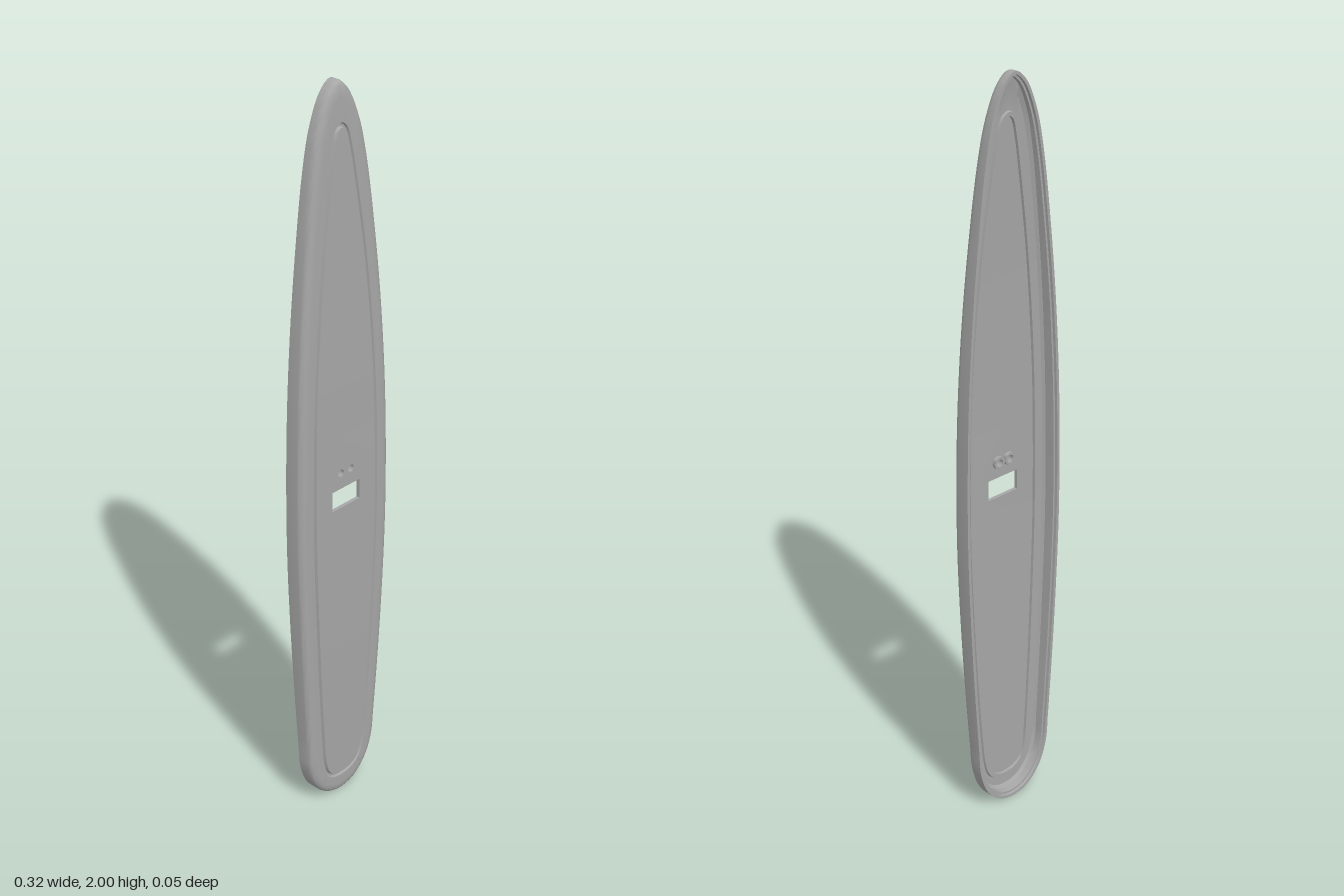
import * as THREE from 'three';
import { mergeGeometries, toCreasedNormals } from 'three/addons/utils/BufferGeometryUtils.js';

const BACK = -0.026, CREST = 0.026, STEPS = 5;

// half outlines from the tip down to the foot
const OUTER = [[0, 2], [.035, 1.975], [.07, 1.9], [.093, 1.8], [.12, 1.6], [.14, 1.4], [.153, 1.2], [.159, 1], [.159, .8],
  [.152, .6], [.141, .4], [.127, .2], [.12, .12], [.095, .055], [.05, .012], [0, 0]];
const INNER = [[0, 1.888], [.012, 1.88], [.026, 1.83], [.04, 1.75], [.068, 1.56], [.087, 1.38], [.1, 1.19], [.105, 1], [.105, .8],
  [.098, .6], [.088, .4], [.074, .2], [.066, .125], [.052, .085], [.028, .068], [0, .064]];

// height of the gently bowed front face
const faceZ = y => CREST - (y > 0.9 ? 0.02 : 0.009) * ((y - 0.9) / (y > 0.9 ? 1.1 : 0.9)) ** 2;

// closed, mirrored outline running counter-clockwise seen from the front
function outline(half) {
  const left = half.map(([x, y]) => new THREE.Vector3(-x, y, 0));
  const right = half.slice(1, -1).reverse().map(([x, y]) => new THREE.Vector3(x, y, 0));
  const keys = [...left, ...right];
  const curve = new THREE.CatmullRomCurve3(keys, true);
  const n = keys.length * STEPS;
  return Array.from({ length: n }, (_, i) => curve.getPoint(i / n));
}

// moves an outline inwards (positive) or outwards (negative)
function inset(ring, d) {
  const n = ring.length;
  return ring.map((p, i) => {
    const t = ring[(i + 1) % n].clone().sub(ring[(i + n - 1) % n]).normalize();
    return new THREE.Vector3(p.x - t.y * d, p.y + t.x * d, 0);
  });
}

// joins closed rings into a non-indexed skin
function loft(rings) {
  const pos = [];
  const n = rings[0].length;
  for (let s = 0; s + 1 < rings.length; s++) {
    for (let i = 0; i < n; i++) {
      const j = (i + 1) % n;
      const a = rings[s][i], b = rings[s][j], c = rings[s + 1][j], d = rings[s + 1][i];
      for (const v of [a, b, d, b, c, d]) pos.push(v.x, v.y, v.z);
    }
  }
  const g = new THREE.BufferGeometry();
  g.setAttribute('position', new THREE.Float32BufferAttribute(pos, 3));
  return g;
}

const setZ = (ring, fn) => ring.map(p => new THREE.Vector3(p.x, p.y, fn(p.y)));

const SLOT = [[.05, .952], [-.05, .952], [-.05, .897], [.05, .897]];
const HOLES = [-.018, .018], HOLE_Y = 0.996, HOLE_R = 0.01;

// bowed panel, made of horizontal bands; the middle band carries the openings
function panel(ring, depth, flip) {
  const n = ring.length, bands = [];
  const cuts = [];
  for (let i = 0; i <= n / 2; i++) if (ring[i].y < 0.86 || ring[i].y > 1.04) cuts.push(i);
  for (let k = 0; k + 1 < cuts.length; k++) {
    const i = cuts[k], j = cuts[k + 1];
    const ids = [];
    for (let q = i; q <= j; q++) ids.push(q);
    for (let q = n - j; q <= n - i; q++) ids.push(q % n);
    const shape = new THREE.Shape([...new Set(ids)].map(q => new THREE.Vector2(ring[q].x, ring[q].y)));
    if (ring[i].y > 1 && ring[j].y < 0.9) {
      shape.holes.push(new THREE.Path(SLOT.map(([x, y]) => new THREE.Vector2(x, y))));
      for (const x of HOLES) shape.holes.push(new THREE.Path().absarc(x, HOLE_Y, HOLE_R, 0, Math.PI * 2));
    }
    const g = new THREE.ShapeGeometry(shape, 16);
    g.deleteAttribute('uv');
    g.deleteAttribute('normal');
    const p = g.attributes.position;
    for (let v = 0; v < p.count; v++) p.setZ(v, faceZ(p.getY(v)) - depth);
    if (flip) g.index.array.reverse();
    bands.push(g.toNonIndexed());
  }
  return mergeGeometries(bands);
}

export function createModel() {
  const model = new THREE.Group();
  model.name = 'boardShell';
  const grey = new THREE.MeshStandardMaterial({ color: 0xa6a6a6 });
  grey.name = 'plainGrey';
  const add = (name, geometry) => {
    const mesh = new THREE.Mesh(geometry, grey);
    mesh.name = name;
    model.add(mesh);
    return mesh;
  };

  const outer = outline(OUTER), inner = outline(INNER);
  const below = d => y => faceZ(y) - d;
  const flat = z => () => z;
  const mix = t => {
    const a = inset(outer, .014), b = inset(inner, -.013);
    return a.map((p, i) => p.clone().lerp(b[i], t));
  };

  // rim section: hollow back, stepped lip, outer wall, rounded front, groove
  const section = [
    [inner, below(.01)],
    [inset(inner, -.001), below(.017)],
    [inset(inner, -.011), below(.017)],
    [inset(inner, -.013), below(.011)],
    [mix(.3), below(.011)],
    [inset(outer, .016), below(.018)],
    [inset(outer, .0145), flat(-.019)],
    [inset(outer, .009), flat(-.019)],
    [inset(outer, .008), flat(BACK)],
    [outer, flat(BACK)],
    [outer, below(.017)],
    [inset(outer, .0015), below(.011)],
    [inset(outer, .005), below(.006)],
    [inset(outer, .012), below(.002)],
    [mix(.3), below(.001)],
    [inset(inner, -.012), below(.002)],
    [inset(inner, -.009), below(.007)],
    [inset(inner, -.003), below(.007)],
    [inner, below(0)],
  ].map(([ring, z]) => setZ(ring, z));
  add('rim', toCreasedNormals(loft(section), 0.6));

  // front and back faces of the centre panel
  add('frontPanel', toCreasedNormals(panel(inner, 0, false), 0.6));
  add('backPanel', toCreasedNormals(panel(inner, .01, true), 0.6));

  // walls of the rectangular slot
  const slot = SLOT.map(([x, y]) => new THREE.Vector3(x, y, 0));
  add('slotWall', toCreasedNormals(loft([setZ(slot, below(0)), setZ(slot, below(.01))]), 0.6));

  // screw sleeves lining the two round holes
  const sleeve = [[HOLE_R, CREST], [HOLE_R, .007], [.017, .007], [.017, CREST - .009]]
    .map(([r, z]) => new THREE.Vector2(r, z));
  for (const x of HOLES) {
    const g = new THREE.LatheGeometry(sleeve, 24).rotateX(Math.PI / 2);
    add('screwSleeve', toCreasedNormals(g, 0.6)).position.set(x, HOLE_Y, 0);
  }
  return model;
}
